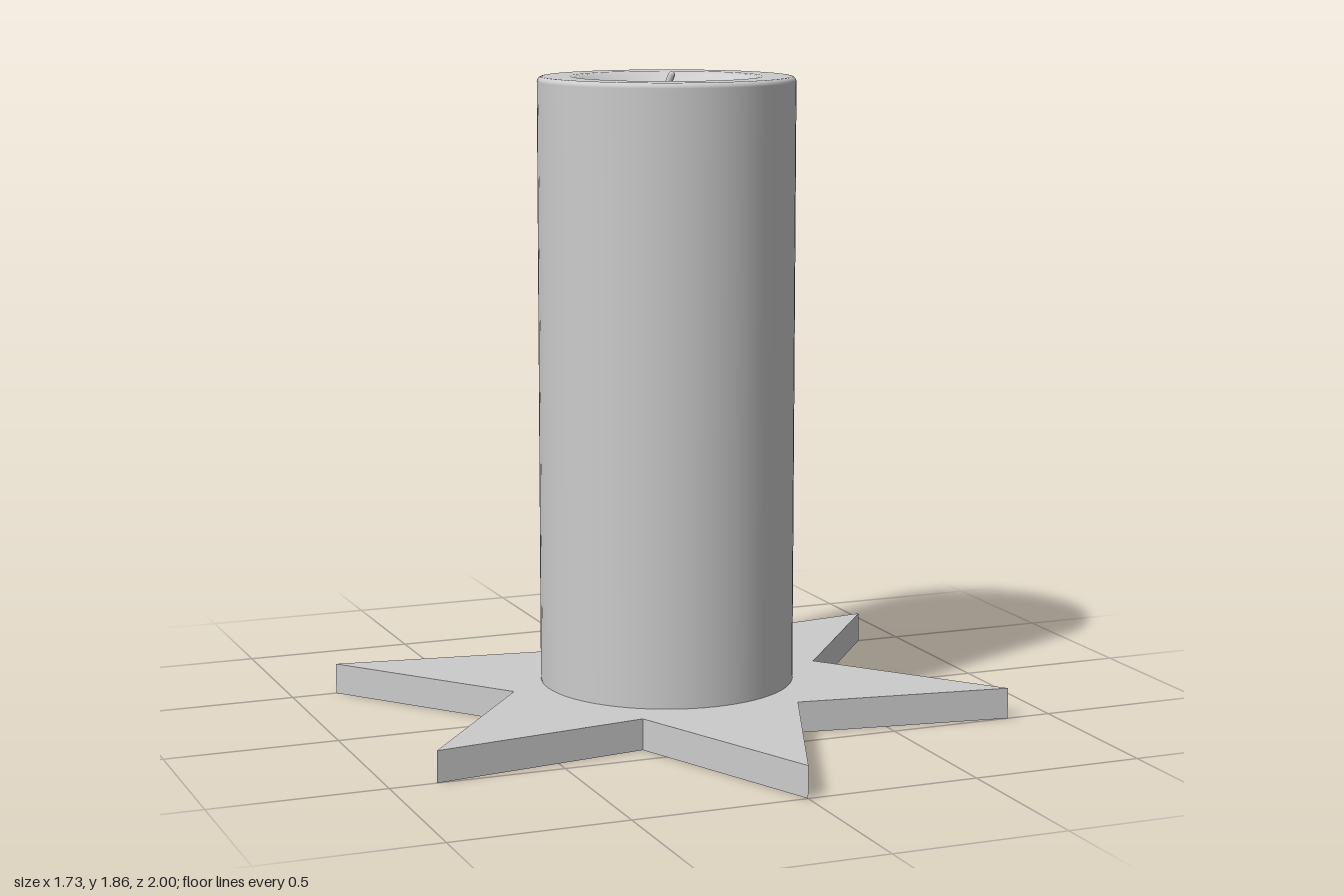
import * as THREE from 'three';

const V2 = (x, y) => new THREE.Vector2(x, y);

function add(group, name, geometry, doubleSided = false) {
  const material = new THREE.MeshStandardMaterial({
    color: 0xcccccc,
    side: doubleSided ? THREE.DoubleSide : THREE.FrontSide,
  });
  const mesh = new THREE.Mesh(geometry, material);
  mesh.name = name;
  group.add(mesh);
  return mesh;
}

export function createModel() {
  const group = new THREE.Group();
  group.name = 'candleOnStar';
  const plateTop = 0.09, radius = 0.37, top = 1.85;

  // Six-pointed star tray, hollow and open underneath
  const corners = [];
  for (let i = 0; i < 12; i++) {
    const a = Math.PI / 2 + (i * Math.PI) / 6;
    const r = i % 2 ? 0.475 : 1;
    corners.push(V2(r * Math.cos(a), r * Math.sin(a)));
  }
  const plate = new THREE.ShapeGeometry(new THREE.Shape(corners));
  plate.rotateX(-Math.PI / 2).translate(0, plateTop, 0);
  add(group, 'starTop', plate, true);

  // Thin star rim, one flat panel per edge
  const rim = new THREE.Group();
  rim.name = 'starRim';
  corners.forEach((p, i) => {
    const q = corners[(i + 1) % corners.length];
    const panel = new THREE.PlaneGeometry(p.distanceTo(q), plateTop);
    panel.rotateY(Math.atan2(q.y - p.y, q.x - p.x));
    panel.translate((p.x + q.x) / 2, plateTop / 2, -(p.y + q.y) / 2);
    add(rim, 'rimPanel', panel, true);
  });
  group.add(rim);

  // Collar under the tray that holds the candle
  const collar = new THREE.Shape().absarc(0, 0, 0.395, 0, Math.PI * 2);
  collar.holes.push(new THREE.Path().absarc(0, 0, radius, 0, Math.PI * 2, true));
  const collarGeometry = new THREE.ExtrudeGeometry(collar, {
    depth: plateTop - 0.005, bevelEnabled: false, curveSegments: 48,
  });
  add(group, 'collar', collarGeometry.rotateX(-Math.PI / 2));

  // Candle body with a softened edge and a melted bowl in the top
  const profile = [V2(radius, 0.08), V2(radius, 0.1)];
  const bevel = 0.015;
  for (let i = 0; i <= 5; i++) {
    const a = (i / 5) * Math.PI / 2;
    profile.push(V2(radius - bevel + bevel * Math.cos(a), top - bevel + bevel * Math.sin(a)));
  }
  profile.push(V2(0.34, top), V2(0.275, top), V2(0.262, top - 0.002));
  const bowlRadius = 0.25, depth = 0.1;
  for (let i = 0; i <= 14; i++) {
    const r = bowlRadius * (1 - i / 14);
    profile.push(V2(r, top - 0.007 - (depth - 0.007) * (1 - (r / bowlRadius) ** 2)));
  }
  add(group, 'candle', new THREE.LatheGeometry(profile, 72));

  // Flat underside of the candle
  const base = new THREE.CircleGeometry(radius, 72).rotateX(Math.PI / 2).translate(0, 0.08, 0);
  add(group, 'candleBase', base);

  // Slightly bent wick with a rounded tip
  const path = new THREE.CatmullRomCurve3([
    new THREE.Vector3(0, 1.74, 0),
    new THREE.Vector3(0.001, 1.79, 0),
    new THREE.Vector3(0.005, 1.83, 0.002),
    new THREE.Vector3(0.013, 1.853, 0.006),
  ]);
  add(group, 'wick', new THREE.TubeGeometry(path, 16, 0.01, 10));
  const tip = add(group, 'wickTip', new THREE.SphereGeometry(0.01, 12, 8));
  tip.position.copy(path.getPoint(1));

  return group;
}
